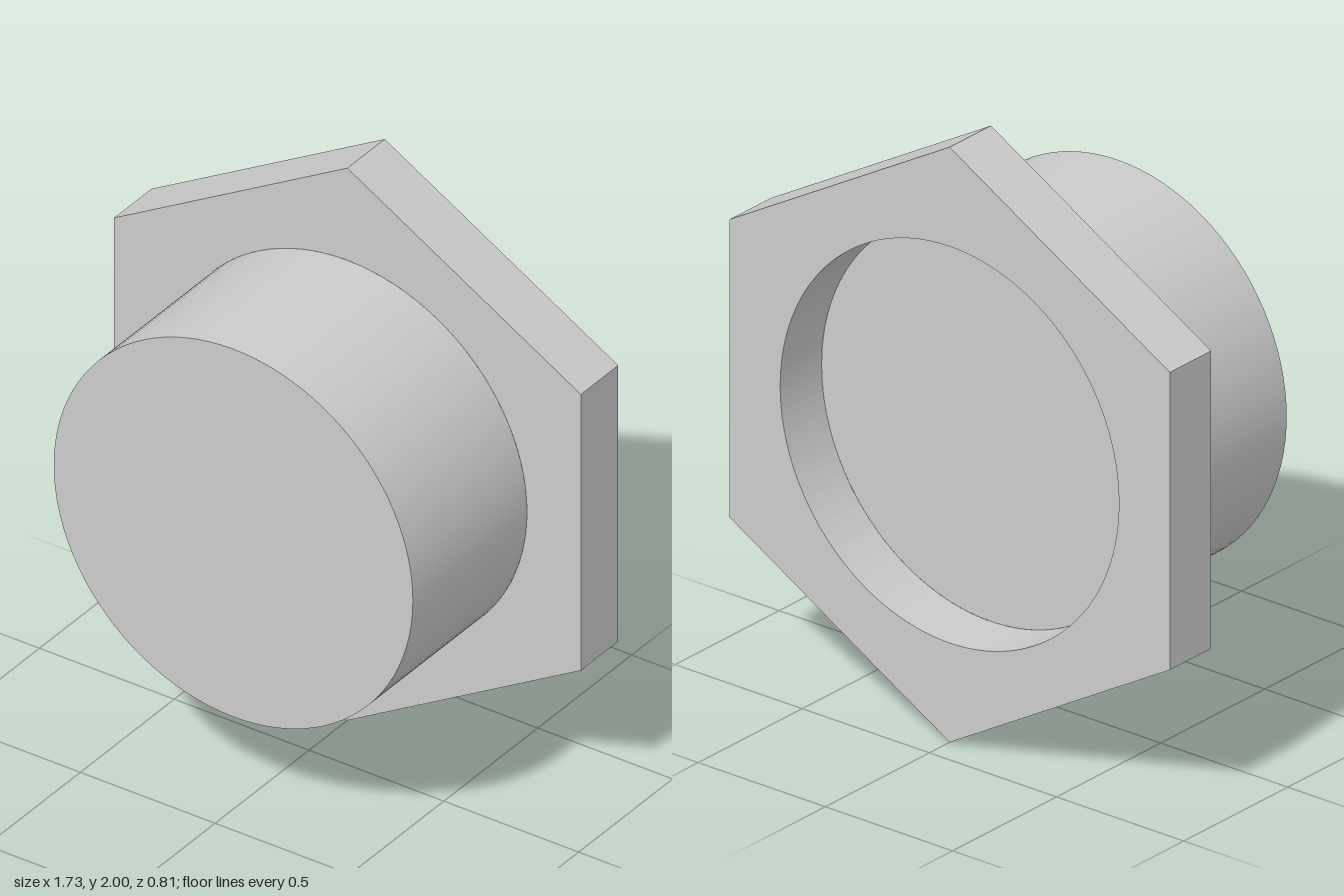
import * as THREE from 'three';

const BORE = 0.666;    // radius of the plug and of the flange opening
const BACK = -0.403;   // rear face of the flange
const SEAT = -0.204;   // front face of the flange, where the plug starts
const FRONT = 0.403;   // front face of the plug
const SEGMENTS = 96;

export function createModel() {
  const group = new THREE.Group();
  const material = new THREE.MeshStandardMaterial({ color: 0xcccccc });

  const add = (name, geometry, z) => {
    const mesh = new THREE.Mesh(geometry, material);
    mesh.name = name;
    mesh.position.set(0, 1, z);
    group.add(mesh);
  };

  // Hexagonal flange, point up, with a round opening
  const hexagon = new THREE.Shape(
    Array.from({ length: 6 }, (_, i) => {
      const a = Math.PI / 2 + (i * Math.PI) / 3;
      return new THREE.Vector2(Math.cos(a), Math.sin(a));
    })
  );
  hexagon.holes.push(new THREE.Path().absarc(0, 0, BORE, 0, Math.PI * 2, true));
  add('hexFlange', new THREE.ExtrudeGeometry(hexagon, {
    depth: SEAT - BACK, bevelEnabled: false, curveSegments: SEGMENTS,
  }), BACK);

  // Solid round plug; its rear cap is the floor of the recess
  const plug = new THREE.CylinderGeometry(BORE, BORE, FRONT - SEAT, SEGMENTS);
  plug.rotateX(Math.PI / 2);
  add('roundPlug', plug, (FRONT + SEAT) / 2);

  return group;
}
